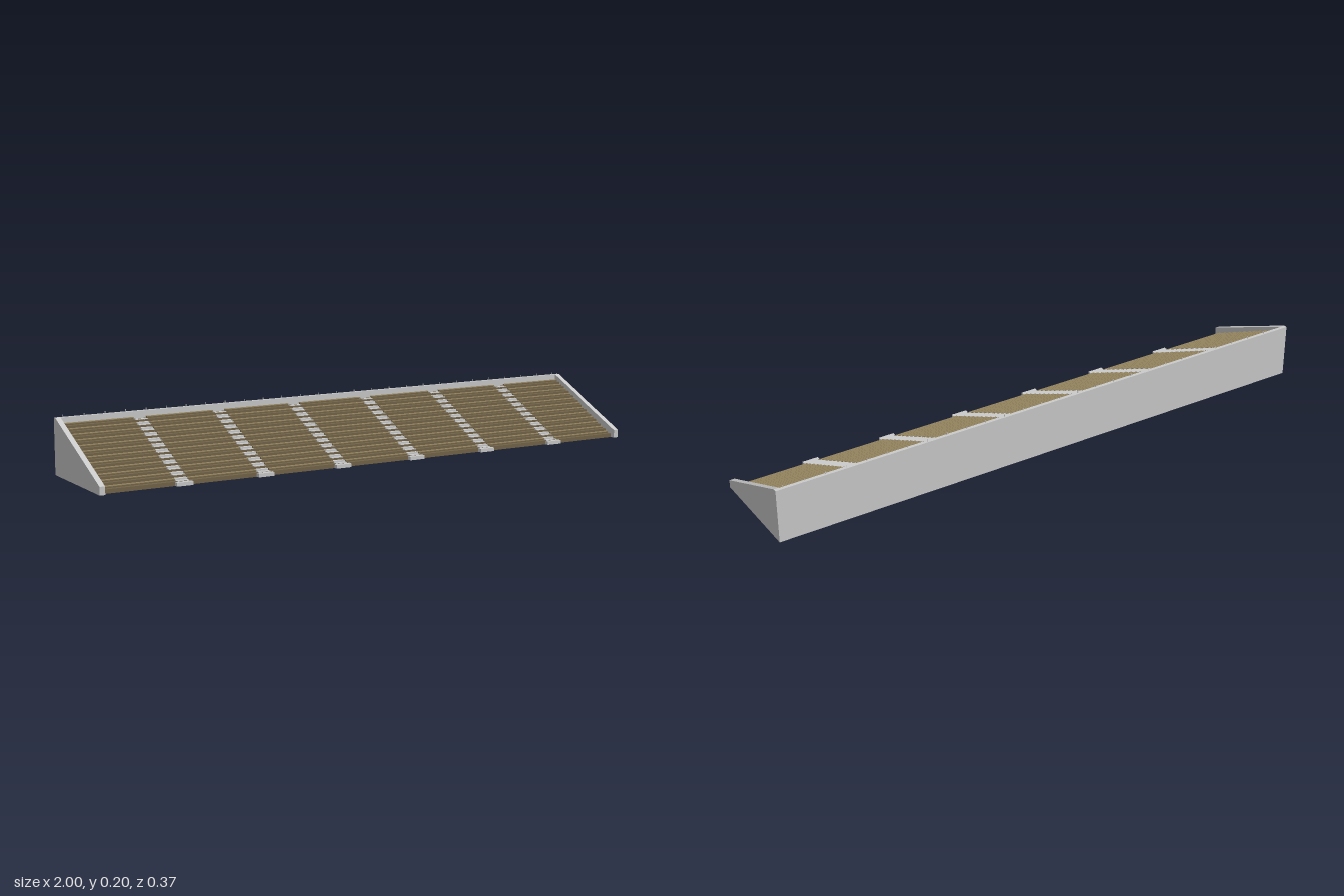
import * as THREE from 'three';

const ROWS = 12, RUN = 0.0282, RISE = 0.0136;
const FRONT = 0.166, FIRST = 0.013; // front edge and height of the lowest tread
const AISLES = [-5, -3, -1, 1, 3, 5].map(i => i / 7);
const AISLE_W = 0.042, INNER = 0.982;

export function createModel() {
  const model = new THREE.Group();
  const grey = new THREE.MeshStandardMaterial({ color: 0xcccccc });
  const deckMat = new THREE.MeshStandardMaterial({ color: 0x746549, side: THREE.DoubleSide });
  const benchMat = new THREE.MeshStandardMaterial({ color: 0x94845f });

  const add = (name, geometry, material, x = 0, y = 0, z = 0, parent = model) => {
    const mesh = new THREE.Mesh(geometry, material);
    mesh.name = name;
    mesh.position.set(x, y, z);
    parent.add(mesh);
    return mesh;
  };
  const group = name => {
    const g = new THREE.Group();
    g.name = name;
    model.add(g);
    return g;
  };

  // Sloping end walls, drawn in (z, y) and turned so their thickness runs along x
  const side = new THREE.Shape([
    [0.185, 0], [0.185, 0.027], [-0.172, 0.187], [-0.185, 0.187], [-0.185, 0],
  ].map(([z, y]) => new THREE.Vector2(-z, y)));
  const wallGeo = new THREE.ExtrudeGeometry(side, { depth: 1 - INNER, bevelEnabled: false });
  wallGeo.rotateY(Math.PI / 2);
  add('leftEndWall', wallGeo, grey, INNER);
  add('rightEndWall', wallGeo, grey, -1);

  // Back wall
  add('backWall', new THREE.BoxGeometry(2 * INNER, 0.187, 0.012), grey, 0, 0.0935, -0.179);

  // Thin stepped deck, open underneath
  const deck = group('steppedDeck');
  const riser = new THREE.PlaneGeometry(2 * INNER, RISE);
  const tread = new THREE.PlaneGeometry(2 * INNER, RUN).rotateX(-Math.PI / 2);
  for (let r = 0; r < ROWS; r++) {
    const y = FIRST + r * RISE, z = FRONT - r * RUN;
    add('riser', riser, deckMat, 0, y - RISE / 2, z, deck);
    add('tread', tread, deckMat, 0, y, z - RUN / 2, deck);
  }

  // Benches on every row, one per block between aisles
  const benches = group('benches');
  const edges = [-INNER, ...AISLES.flatMap(x => [x - AISLE_W / 2, x + AISLE_W / 2]), INNER];
  for (let i = 0; i < edges.length; i += 2) {
    const width = edges[i + 1] - edges[i] - 0.004;
    const seat = new THREE.BoxGeometry(width, 0.002, 0.012);
    const support = new THREE.BoxGeometry(width, 0.005, 0.004);
    const x = (edges[i] + edges[i + 1]) / 2;
    for (let r = 0; r < ROWS; r++) {
      const y = FIRST + r * RISE, z = FRONT - (r + 0.6) * RUN;
      add('benchSeat', seat, benchMat, x, y + 0.006, z, benches);
      add('benchSupport', support, deckMat, x, y + 0.0025, z, benches);
    }
  }

  // Aisles: a half step on each row and a wider landing at the foot
  const half = new THREE.BoxGeometry(AISLE_W, RISE / 2, RUN / 2);
  const full = new THREE.BoxGeometry(AISLE_W, 0.002, RUN / 2);
  const landing = new THREE.BoxGeometry(0.056, 0.012, 0.016);
  for (const x of AISLES) {
    const aisle = group('aisle');
    add('landing', landing, grey, x, 0.006, FRONT + 0.008, aisle);
    for (let r = 0; r < ROWS; r++) {
      const y = FIRST + r * RISE, z = FRONT - r * RUN;
      add('aisleTread', full, grey, x, y + 0.0005, z - RUN / 4, aisle);
      if (r < ROWS - 1) add('halfStep', half, grey, x, y + RISE / 4, z - RUN * 0.75, aisle);
    }
  }

  // Short posts along the top of the back wall
  const posts = group('wallPosts');
  const post = new THREE.BoxGeometry(0.002, 0.009, 0.0015);
  for (let i = 0; i < 28; i++) add('post', post, grey, -0.972 + i * 0.072, 0.1905, -0.178, posts);

  return model;
}
